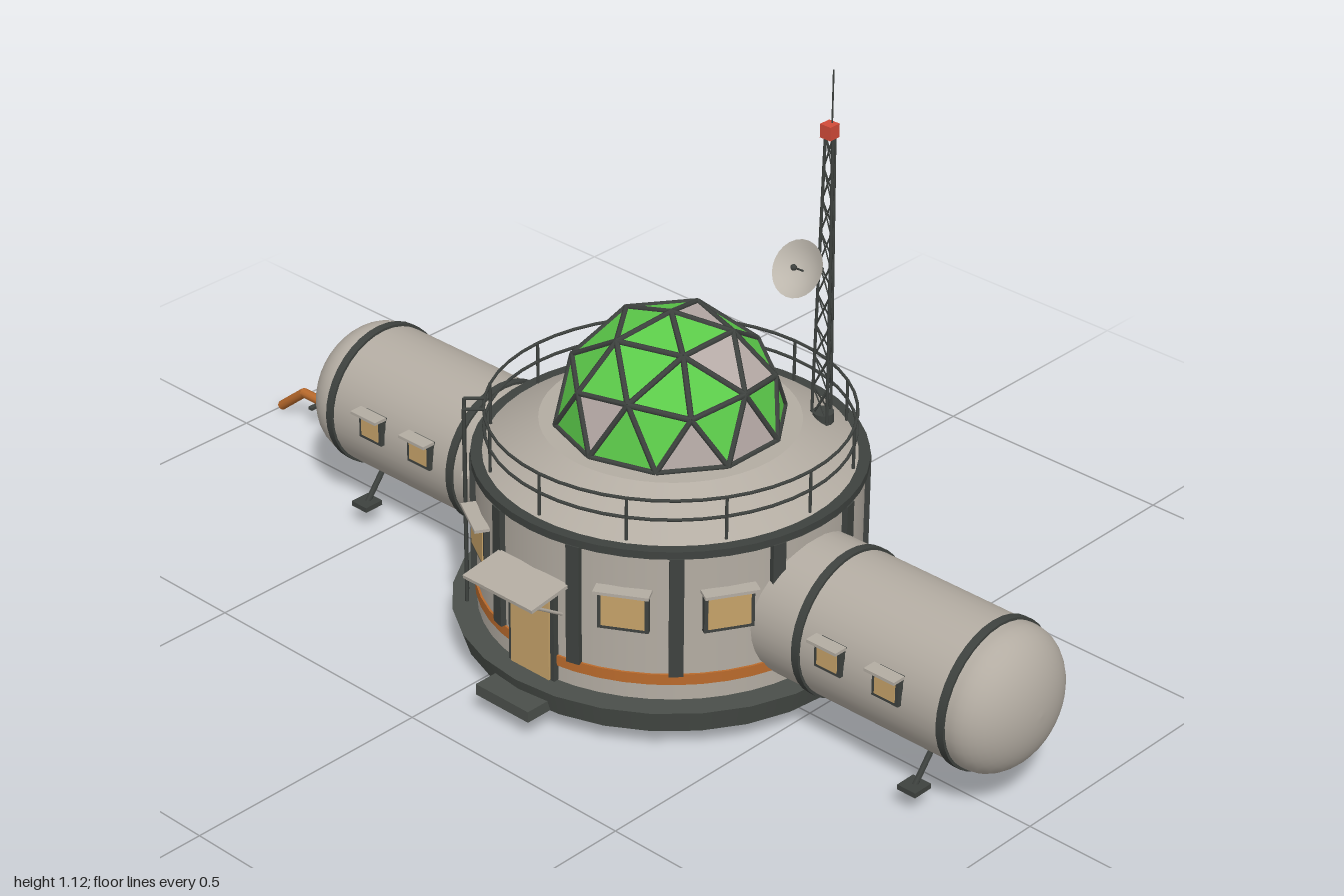
import * as THREE from 'three';

const mat = (name, color, double) => {
  const m = new THREE.MeshStandardMaterial({ color });
  m.name = name;
  if (double) m.side = THREE.DoubleSide;
  return m;
};
const hull = mat('hull grey', 0xb3aca2);
const trim = mat('dark trim', 0x3e423f);
const plinthMat = mat('plinth grey', 0x4a4f4a);
const green = mat('green glass', 0x5ccb4a, true);
const pale = mat('pale panel', 0xb8aca8, true);
const orange = mat('orange', 0xb96a2c);
const tan = mat('tan window', 0xc6a269);
const red = mat('red beacon', 0xd04a38);
const dishMat = mat('dish grey', 0xbdb7ad, true);

const V = (x, y, z) => new THREE.Vector3(x, y, z);
const UP = V(0, 1, 0);
const rad = THREE.MathUtils.degToRad;

function add(parent, name, geometry, material, x = 0, y = 0, z = 0) {
  const m = new THREE.Mesh(geometry, material);
  m.name = name;
  m.position.set(x, y, z);
  parent.add(m);
  return m;
}
const box = (p, name, w, h, d, m, x, y, z) => add(p, name, new THREE.BoxGeometry(w, h, d), m, x, y, z);

// Round bar between two points
function bar(parent, name, a, b, r, m, sides = 6) {
  const d = b.clone().sub(a);
  const mesh = add(parent, name, new THREE.CylinderGeometry(r, r, d.length(), sides), m);
  mesh.position.copy(a).add(b).multiplyScalar(0.5);
  mesh.quaternion.setFromUnitVectors(UP, d.normalize());
  return mesh;
}

// Group on the wall: local +z points outwards, angle measured from the front
function onWall(parent, name, deg, r, y) {
  const g = new THREE.Group();
  g.name = name;
  g.position.set(Math.sin(rad(deg)) * r, y, Math.cos(rad(deg)) * r);
  g.rotation.y = rad(deg);
  parent.add(g);
  return g;
}

function windowUnit(g, w, h) {
  box(g, 'windowFrame', w + 0.014, h + 0.014, 0.012, trim, 0, 0, 0);
  box(g, 'windowPane', w, h, 0.006, tan, 0, 0, 0.005);
  box(g, 'windowHood', w + 0.022, 0.006, 0.028, hull, 0, h / 2 + 0.008, 0.01);
}

function buildHub(root) {
  const hub = new THREE.Group();
  hub.name = 'hub';
  root.add(hub);
  add(hub, 'plinth', new THREE.CylinderGeometry(0.397, 0.382, 0.046, 28), plinthMat, 0, 0.066, 0);
  add(hub, 'wall', new THREE.CylinderGeometry(0.35, 0.35, 0.3, 48), hull, 0, 0.238, 0);
  add(hub, 'orangeBand', new THREE.CylinderGeometry(0.354, 0.354, 0.021, 48), orange, 0, 0.132, 0);
  add(hub, 'eaveRing', new THREE.CylinderGeometry(0.358, 0.358, 0.015, 48), trim, 0, 0.388, 0);
  add(hub, 'roof', new THREE.CylinderGeometry(0.236, 0.338, 0.067, 48), hull, 0, 0.4285, 0);

  // Wall ribs and guard rail
  for (let i = 0; i < 12; i++) {
    box(onWall(hub, 'rib', 15 + i * 30, 0.352, 0.262), 'ribBar', 0.026, 0.24, 0.016, trim, 0, 0, 0);
    const p = onWall(hub, 'railPost', i * 30, 0.333, 0.442);
    add(p, 'post', new THREE.CylinderGeometry(0.003, 0.003, 0.084, 6), trim);
  }
  for (const y of [0.445, 0.483])
    add(hub, 'guardRail', new THREE.TorusGeometry(0.333, 0.003, 6, 48).rotateX(Math.PI / 2), trim, 0, y, 0);

  // Windows on the right-hand wall
  for (const deg of [-30, -60, -120, -150])
    windowUnit(onWall(hub, 'wallWindow', deg, 0.352, 0.27), 0.078, 0.066);

  // Door with awning and step
  const door = onWall(hub, 'door', -90, 0.35, 0);
  box(door, 'doorFrame', 0.112, 0.2, 0.012, trim, 0, 0.19, 0);
  box(door, 'doorPanel', 0.094, 0.19, 0.008, tan, 0, 0.186, 0.006);
  box(door, 'step', 0.13, 0.022, 0.07, plinthMat, 0, 0.055, 0.046);
  box(door, 'awning', 0.17, 0.007, 0.092, hull, 0, 0.291, 0.043).rotation.x = 0.14;
  for (const s of [-1, 1])
    bar(door, 'awningStrut', V(s * 0.07, 0.235, 0), V(s * 0.07, 0.285, 0.078), 0.003, hull);

  // Ladder
  const ladder = onWall(hub, 'ladder', -135, 0.368, 0);
  for (const s of [-1, 1]) {
    bar(ladder, 'ladderRail', V(s * 0.02, 0.09, 0), V(s * 0.02, 0.49, 0), 0.0035, trim);
    bar(ladder, 'ladderHook', V(s * 0.02, 0.49, 0), V(s * 0.02, 0.49, -0.036), 0.0035, trim);
  }
  for (let y = 0.11; y < 0.48; y += 0.026)
    bar(ladder, 'rung', V(-0.02, y, 0), V(0.02, y, 0), 0.003, trim);
}

function buildDome(root) {
  const dome = new THREE.Group();
  dome.name = 'dome';
  dome.position.y = 0.464;
  root.add(dome);
  const R = 0.208;
  const ico = new THREE.IcosahedronGeometry(R, 1)
    .rotateX(-Math.atan2((1 + Math.sqrt(5)) / 2, 1)).rotateY(Math.PI);
  const p = ico.getAttribute('position');
  // Directions (turn, elevation) of the opaque panels
  const opaque = [[0, 10], [-36, 10], [0, 53], [23, 40], [72, 72], [108, 10], [-90, 20]]
    .map(([a, e]) => V(0, 0, 1).applyEuler(new THREE.Euler(-rad(e), rad(a), 0, 'YXZ')));
  const faces = { glass: [], solid: [] };
  const seen = new Set();
  const key = v => v.toArray().map(n => Math.round(n * 1000)).join();
  for (let i = 0; i < p.count; i += 3) {
    const t = [0, 1, 2].map(k => V().fromBufferAttribute(p, i + k));
    const c = t[0].clone().add(t[1]).add(t[2]).normalize();
    if (c.y < 0.01) continue;
    const solid = opaque.some(o => o.dot(c) > 0.985);
    faces[solid ? 'solid' : 'glass'].push(...t);
    t.forEach((a, k) => {
      const b = t[(k + 1) % 3];
      const id = key(a.clone().add(b));
      if (seen.has(id)) return;
      seen.add(id);
      bar(dome, 'domeStrut', a, b, 0.0055, trim, 6);
    });
  }
  for (const [name, m] of [['glass', green], ['solid', pale]]) {
    const g = new THREE.BufferGeometry().setFromPoints(faces[name]);
    g.computeVertexNormals();
    add(dome, name + 'Panels', g, m);
  }
}

// Round-ended side module, s = 1 front, -1 back
function buildModule(root, s) {
  const g = new THREE.Group();
  g.name = s > 0 ? 'frontModule' : 'backModule';
  root.add(g);
  const R = 0.137, y = 0.217, cap = 0.088, end = 0.859;
  const profile = [new THREE.Vector2(R, 0.25)];
  for (let i = 0; i <= 12; i++) {
    const a = (i / 12) * Math.PI / 2;
    profile.push(new THREE.Vector2(i === 12 ? 0 : R * Math.cos(a), end - cap + cap * Math.sin(a)));
  }
  add(g, 'shell', new THREE.LatheGeometry(profile, 36).rotateX(s * Math.PI / 2), hull, 0, y, 0);
  for (const z of [0.428, 0.753])
    add(g, 'hoop', new THREE.CylinderGeometry(0.142, 0.142, 0.016, 36).rotateX(Math.PI / 2), trim, 0, y, s * z);
  for (const z of [0.505, 0.635]) {
    const w = new THREE.Group();
    w.name = 'moduleWindow';
    w.position.set(-0.139, 0.243, s * z);
    w.rotation.y = -Math.PI / 2;
    g.add(w);
    windowUnit(w, 0.045, 0.042);
    box(w, 'windowSurround', 0.055, 0.052, 0.025, trim, 0, 0, -0.014);
  }
  for (const x of [-1, 1]) {
    bar(g, 'leg', V(x * 0.062, 0.115, s * 0.683), V(x * 0.113, 0.05, s * 0.683), 0.006, trim);
    box(g, 'foot', 0.042, 0.01, 0.04, trim, x * 0.115, 0.048, s * 0.683);
  }
}

function buildMast(root) {
  const mast = new THREE.Group();
  mast.name = 'mast';
  mast.position.set(0.213, 0, 0.175);
  root.add(mast);
  const y0 = 0.44, y1 = 1.0, levels = 9;
  const at = (k, i) => {
    const t = i / levels, r = 0.021 - 0.011 * t, a = rad(90 + k * 120);
    return V(Math.sin(a) * r, y0 + (y1 - y0) * t, Math.cos(a) * r);
  };
  add(mast, 'mastFoot', new THREE.CylinderGeometry(0.02, 0.02, 0.02, 12), trim, 0, 0.443, 0);
  for (let k = 0; k < 3; k++) {
    bar(mast, 'mastLeg', at(k, 0), at(k, levels), 0.003, trim);
    for (let i = 0; i < levels; i++) {
      bar(mast, 'brace', at(k, i), at(k + 1, i + 1), 0.0018, trim, 4);
      bar(mast, 'brace', at(k + 1, i), at(k, i + 1), 0.0018, trim, 4);
    }
  }
  box(mast, 'beacon', 0.024, 0.026, 0.024, red, -0.004, 1.011, 0);
  bar(mast, 'antenna', V(0.002, 1.02, 0), V(0.002, 1.124, 0), 0.0016, trim);

  // Dish facing up and sideways
  const dish = new THREE.Group();
  dish.name = 'dish';
  dish.position.set(-0.057, 0.755, -0.007);
  dish.quaternion.setFromUnitVectors(UP, V(-0.83, 0.55, 0).normalize());
  mast.add(dish);
  const bowl = [0, 0.014, 0.028, 0.041, 0.053].map(r => new THREE.Vector2(r, r * r * 6.5));
  add(dish, 'bowl', new THREE.LatheGeometry(bowl, 24), dishMat);
  bar(dish, 'feedArm', V(0, 0, 0), V(0, 0.03, 0), 0.002, trim);
  add(dish, 'feed', new THREE.SphereGeometry(0.006, 8, 6), trim, 0, 0.03, 0);
  bar(mast, 'dishArm', V(-0.055, 0.754, -0.006), V(-0.012, 0.745, 0), 0.003, trim);
}

// Orange pipe running out of the back module
function buildPipe(root) {
  const pipe = new THREE.Group();
  pipe.name = 'pipe';
  root.add(pipe);
  const pts = [V(0.07, 0.095, -0.735), V(0.07, 0.067, -0.797), V(0.07, 0.067, -1.062), V(0.07, 0.012, -1.13)];
  for (let i = 0; i < 3; i++) {
    bar(pipe, 'pipeRun', pts[i], pts[i + 1], 0.0095, orange, 10);
    if (i) add(pipe, 'pipeJoint', new THREE.SphereGeometry(0.0095, 10, 8), orange, ...pts[i].toArray());
  }
  for (const z of [-0.875, -1.02]) {
    box(pipe, 'pipeClamp', 0.046, 0.006, 0.01, trim, 0.07, 0.056, z);
    bar(pipe, 'pipeStub', V(0.07, 0.045, z), V(0.07, 0.06, z), 0.004, trim);
  }
}

export function createModel() {
  const root = new THREE.Group();
  root.name = 'outpost';
  const station = new THREE.Group();
  station.name = 'station';
  station.position.set(0.02, 0, 0.137);
  root.add(station);
  buildHub(station);
  buildDome(station);
  buildModule(station, 1);
  buildModule(station, -1);
  buildMast(station);
  buildPipe(station);
  return root;
}
